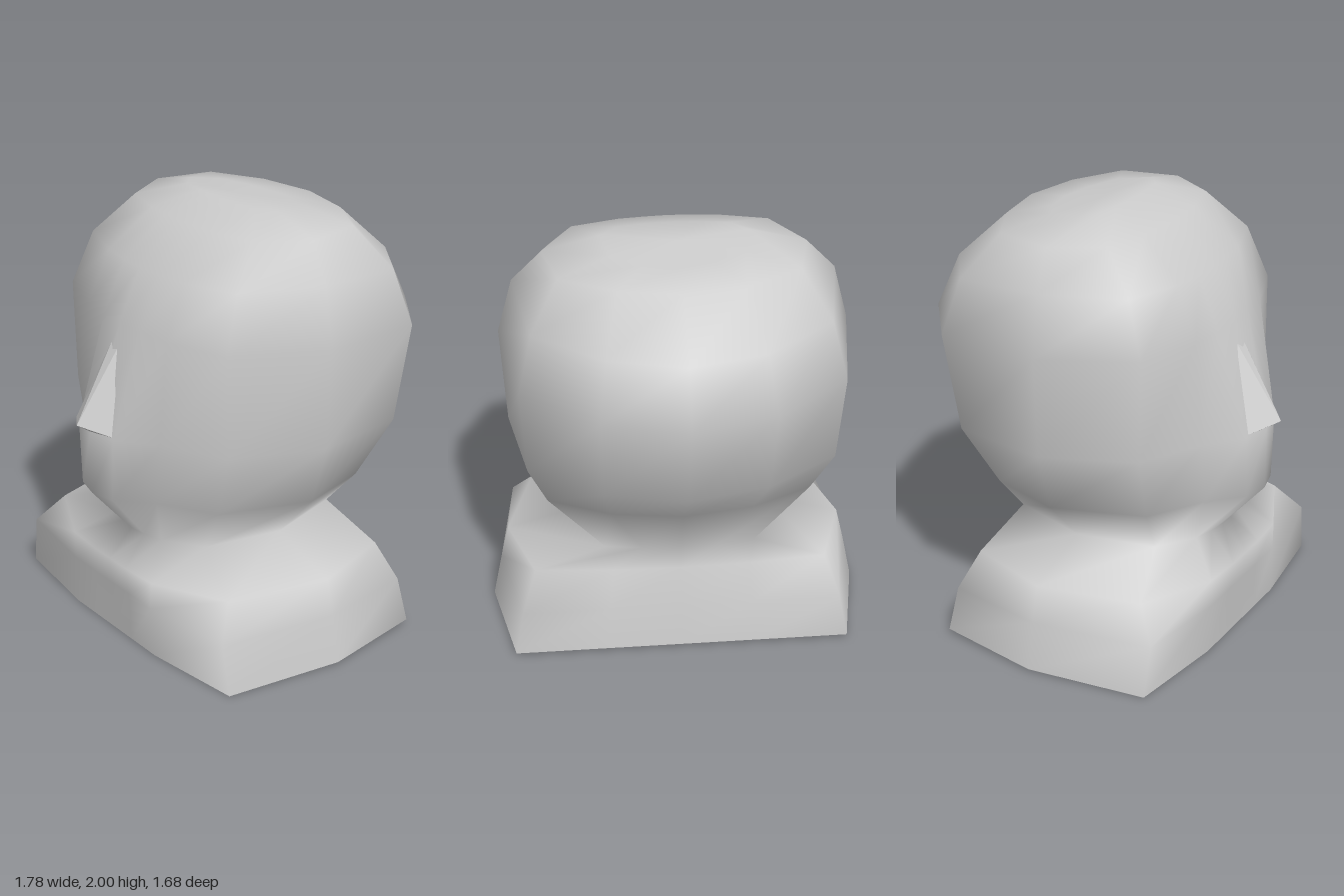
import * as THREE from 'three';

const material = new THREE.MeshStandardMaterial({ color: 0xcccccc, side: THREE.DoubleSide });

// Half cross-sections from front centre over the side to back centre.
// x is a fraction of the half width; z runs 1 (front) to 0 (side) to -1 (back).
const sections = {
  round: [[0, 1], [0.18, 0.98], [0.39, 0.94], [0.76, 0.75], [1, 0], [0.9, -0.6], [0.48, -0.89], [0, -1]],
  ridge: [[0, 1], [0.18, 0.96], [0.4, 0.77], [0.78, 0.56], [1, 0], [0.9, -0.6], [0.48, -0.89], [0, -1]],
  neck: [[0, 1], [0.2, 0.98], [0.42, 0.93], [0.82, 0.7], [1, 0], [0.78, -0.9], [0.4, -0.97], [0, -1]],
  shoulder: [[0, 1], [0.16, 1], [0.4, 0.98], [0.84, 0.72], [1, 0], [0.85, -0.9], [0.4, -0.98], [0, -1]],
  chest: [[0, 1], [0.16, 1], [0.37, 1], [0.92, 0.9], [1, 0], [0.89, -1], [0.4, -1], [0, -1]],
};

// Rings from the bottom up: section, half width, [y, z] at front, side and back
const rings = [
  ['chest', 0.89, [0, 0.665], [0.01, 0.04], [0.02, -0.46]],
  ['chest', 0.845, [0.24, 0.675], [0.23, 0.04], [0.23, -0.43]],
  ['shoulder', 0.805, [0.37, 0.685], [0.4, 0.04], [0.42, -0.385]],
  ['neck', 0.45, [0.49, 0.56], [0.5, 0.04], [0.52, -0.36]],
  ['ridge', 0.68, [0.73, 0.77], [0.74, 0.04], [0.78, -0.48]],
  ['ridge', 0.775, [1.03, 0.77], [1.03, 0.04], [1.03, -0.72]],
  ['round', 0.8, [1.51, 0.6], [1.5, 0.04], [1.46, -0.84]],
  ['round', 0.73, [1.75, 0.49], [1.77, 0.02], [1.71, -0.72]],
  ['round', 0.59, [1.93, 0.28], [1.93, -0.02], [1.93, -0.47]],
  ['round', 0.33, [2, 0.07], [1.995, -0.02], [1.955, -0.28]],
];

function ringPoints([section, width, front, side, back]) {
  const half = sections[section].map(([fx, fz]) => {
    const end = fz >= 0 ? front : back;
    const t = Math.abs(fz);
    return [fx * width, side[0] + (end[0] - side[0]) * t, side[1] + (end[1] - side[1]) * t];
  });
  const mirrored = half.slice(1, -1).reverse().map(([x, y, z]) => [-x, y, z]);
  return [...half, ...mirrored];
}

function buildGeometry(points, index) {
  const geometry = new THREE.BufferGeometry();
  geometry.setAttribute('position', new THREE.Float32BufferAttribute(points.flat(), 3));
  geometry.setIndex(index);
  return geometry;
}

// Head, neck and shoulders as one smooth skin, open at the bottom
function createBust() {
  const points = rings.flatMap(ringPoints);
  const n = points.length / rings.length;
  const index = [];
  for (let i = 0; i < rings.length - 1; i++) {
    for (let j = 0; j < n; j++) {
      const k = (j + 1) % n;
      const a = i * n + j, b = i * n + k;
      index.push(a, b, b + n, a, b + n, a + n);
    }
  }
  // Crown cap
  const last = (rings.length - 1) * n;
  const centre = points.push([0, 1.985, -0.08]) - 1;
  for (let j = 0; j < n; j++) index.push(last + j, last + (j + 1) % n, centre);
  const geometry = buildGeometry(points, index);
  geometry.computeVertexNormals();
  const mesh = new THREE.Mesh(geometry, material);
  mesh.name = 'headAndShoulders';
  return mesh;
}

// Wedge nose with a sharp lower edge
function createNose() {
  const points = [
    [-0.03, 1.43, 0.62], [0.03, 1.43, 0.62], // bridge
    [-0.145, 1.05, 0.75], [0.145, 1.05, 0.75], // nostril corners
    [0, 1.08, 0.84], // tip
    [0, 1.03, 0.765], // underside
  ];
  const index = [0, 4, 1, 0, 2, 4, 1, 4, 3, 2, 5, 4, 4, 5, 3];
  const geometry = buildGeometry(points, index).toNonIndexed();
  geometry.computeVertexNormals();
  const mesh = new THREE.Mesh(geometry, material);
  mesh.name = 'nose';
  return mesh;
}

export function createModel() {
  const group = new THREE.Group();
  group.name = 'bust';
  group.add(createBust(), createNose());
  return group;
}
